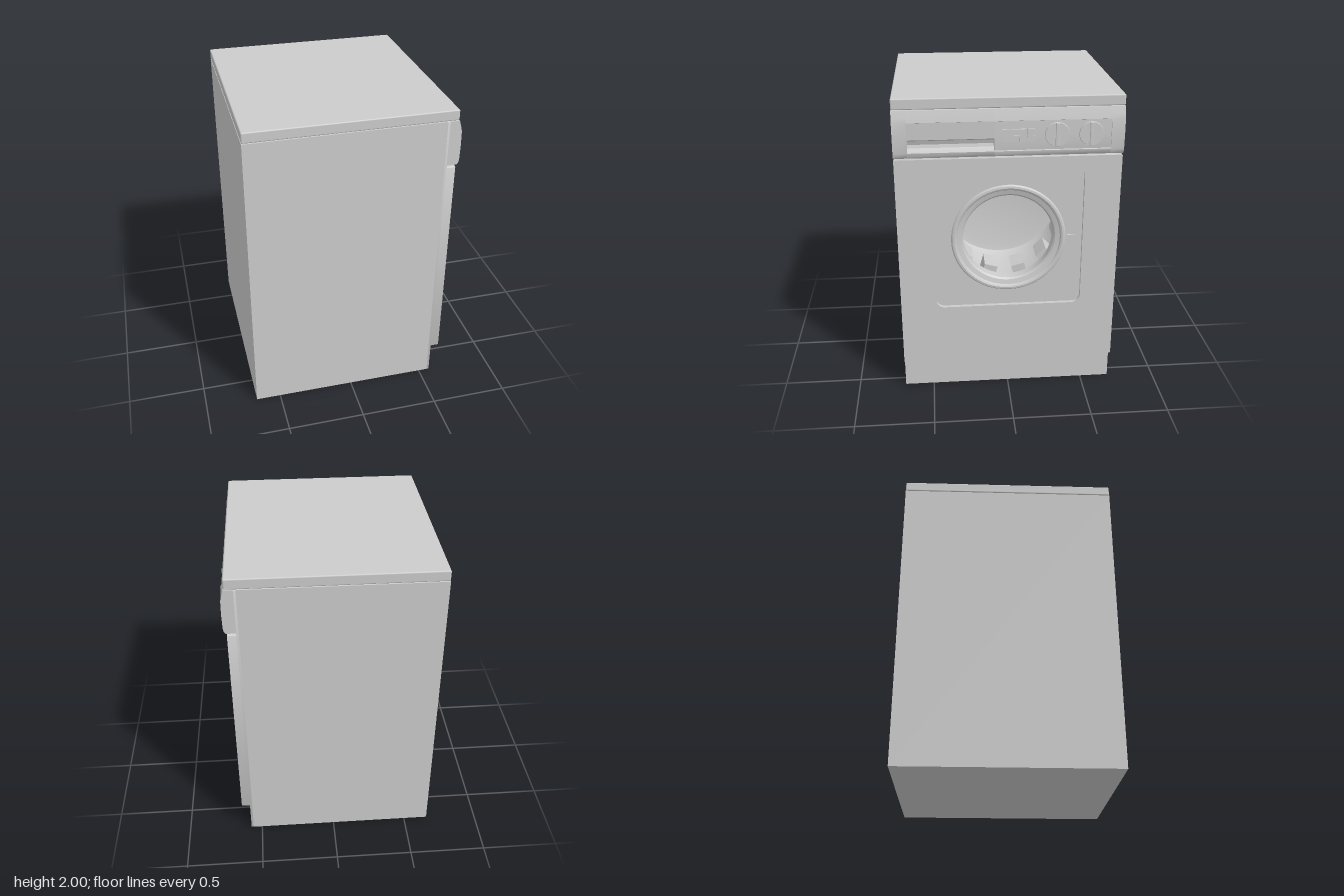
import * as THREE from 'three';
import { toCreasedNormals } from 'three/addons/utils/BufferGeometryUtils.js';
import { RoundedBoxGeometry } from 'three/addons/geometries/RoundedBoxGeometry.js';

const W = 0.69;              // half width of the cabinet
const DOOR_Y = 1.085;        // height of the drum axis

export function createModel() {
  const group = new THREE.Group();
  group.name = 'washingMachine';
  const grey = new THREE.MeshStandardMaterial({ color: 0xcccccc });
  const greyBoth = new THREE.MeshStandardMaterial({ color: 0xcccccc, side: THREE.DoubleSide });

  function add(name, geometry, x = 0, y = 0, z = 0, material = grey, parent = group) {
    const mesh = new THREE.Mesh(geometry, material);
    mesh.name = name;
    mesh.position.set(x, y, z);
    parent.add(mesh);
    return mesh;
  }

  // Rounded rectangle outline in the width/height plane
  function roundRect(path, hw, y0, y1, r) {
    path.moveTo(-hw + r, y0);
    path.lineTo(hw - r, y0);
    path.absarc(hw - r, y0 + r, r, -Math.PI / 2, 0);
    path.lineTo(hw, y1 - r);
    path.absarc(hw - r, y1 - r, r, 0, Math.PI / 2);
    path.lineTo(-hw + r, y1);
    path.absarc(-hw + r, y1 - r, r, Math.PI / 2, Math.PI);
    path.lineTo(-hw, y0 + r);
    path.absarc(-hw + r, y0 + r, r, Math.PI, Math.PI * 1.5);
    return path;
  }

  // Sheet facing +x with one hole
  function sheet(hw, y0, y1, r, hole, x0, x1) {
    const shape = roundRect(new THREE.Shape(), hw, y0, y1, r);
    shape.holes.push(hole);
    const g = new THREE.ExtrudeGeometry(shape, { depth: x1 - x0, bevelEnabled: false, curveSegments: 32 });
    return toCreasedNormals(g.rotateY(Math.PI / 2).translate(x0, 0, 0), 0.6);
  }
  const circle = (r) => new THREE.Path().absarc(0, DOOR_Y, r, 0, Math.PI * 2);

  // Surface of revolution around the drum axis, points are [radius, x]
  function turned(points) {
    const g = new THREE.LatheGeometry(points.map((p) => new THREE.Vector2(...p)), 64);
    return toCreasedNormals(g.rotateZ(-Math.PI / 2), 0.5);
  }

  // Cabinet, open behind the front sheet
  const cabinet = new THREE.BoxGeometry(1.22, 1.925, 2 * W);
  cabinet.setIndex(Array.from(cabinet.index.array).slice(6));
  add('cabinet', cabinet, -0.05, 0.9675, 0, greyBoth);
  add('worktop', new RoundedBoxGeometry(1.29, 0.067, 2 * W, 2, 0.008), -0.015, 1.9665, 0);

  // Backing sheet whose lower part shows as the plinth
  add('plinth', sheet(W, 0.005, 1.93, 0.004, circle(0.34), 0.56, 0.575));

  // Front panel with a rounded recess around the door
  const recess = roundRect(new THREE.Path(), 0.465, 0.62, 1.55, 0.055);
  add('frontPanel', sheet(W, 0.217, 1.627, 0.006, recess, 0.572, 0.63));
  add('doorRecess', sheet(0.468, 0.617, 1.553, 0.055, circle(0.35), 0.59, 0.606));
  add('latch', new THREE.BoxGeometry(0.02, 0.026, 0.05), 0.606, DOOR_Y, -0.395);

  // Rim, neck and drum
  add('doorRim', turned([
    [0.36, 0.59], [0.36, 0.612], [0.353, 0.62], [0.34, 0.622], [0.33, 0.617],
    [0.325, 0.608], [0.295, 0.6], [0.285, 0.59], [0.285, 0.53],
  ]), 0, DOOR_Y, 0, greyBoth);
  add('drum', turned([
    [0.285, 0.53], [0.40, 0.525], [0.43, 0.51], [0.44, 0.48],
    [0.44, -0.05], [0.42, -0.09], [0.38, -0.1], [0, -0.13],
  ]), 0, DOOR_Y, 0, greyBoth);

  // Ring of paddles on the drum wall
  const paddles = new THREE.Group();
  paddles.name = 'drumPaddles';
  paddles.position.set(0.24, DOOR_Y, 0);
  group.add(paddles);
  const paddleCount = 12;
  for (let i = 0; i < paddleCount; i++) {
    const a = ((i + 0.5) / paddleCount) * Math.PI * 2;
    const paddle = add('paddle', new THREE.BoxGeometry(0.16, 0.1, 0.09),
      0, 0.395 * Math.cos(a), 0.395 * Math.sin(a), grey, paddles);
    paddle.rotation.x = a;
  }

  // Control fascia: slices along the width with differing side profiles
  function fascia(name, z0, z1, front) {
    const outline = [[0.572, 1.64], [0.635, 1.64], [0.645, 1.652], ...front,
      [0.643, 1.89], [0.632, 1.93], [0.572, 1.93]];
    const shape = new THREE.Shape(outline.map((p) => new THREE.Vector2(...p)));
    const g = new THREE.ExtrudeGeometry(shape, { depth: z1 - z0, bevelEnabled: false });
    add(name, toCreasedNormals(g, 0.5), 0, 0, z0);
  }
  const plain = [[0.65, 1.675], [0.652, 1.77], [0.65, 1.86]];
  const inset = [[0.65, 1.675], [0.642, 1.678], [0.644, 1.77], [0.642, 1.857], [0.65, 1.86]];
  const scoop = [[0.65, 1.675], [0.615, 1.68], [0.598, 1.69], [0.592, 1.71], [0.6, 1.735],
    [0.618, 1.75], [0.64, 1.752], [0.642, 1.857], [0.65, 1.86]];
  fascia('fasciaLeftEnd', 0.605, W, plain);
  fascia('detergentDrawer', 0.09, 0.605, scoop);
  fascia('controlStrip', -0.61, 0.09, inset);
  fascia('fasciaRightEnd', -W, -0.61, plain);

  // Push buttons, each split in two halves
  for (let i = 0; i < 4; i++) {
    const z = 0.02 - i * 0.0495;
    add('buttonTop', new THREE.BoxGeometry(0.02, 0.038, 0.043), 0.645, 1.79, z);
    add('buttonBottom', new THREE.BoxGeometry(0.014, 0.038, 0.043), 0.645, 1.75, z);
  }

  // Rotary knobs with a grip bar
  for (const z of [-0.285, -0.49]) {
    const disc = new THREE.CylinderGeometry(0.072, 0.076, 0.014, 40).rotateZ(-Math.PI / 2);
    add('knob', disc, 0.644, 1.77, z);
    add('knobGrip', new RoundedBoxGeometry(0.022, 0.146, 0.022, 2, 0.004), 0.646, 1.77, z);
  }

  return group;
}
